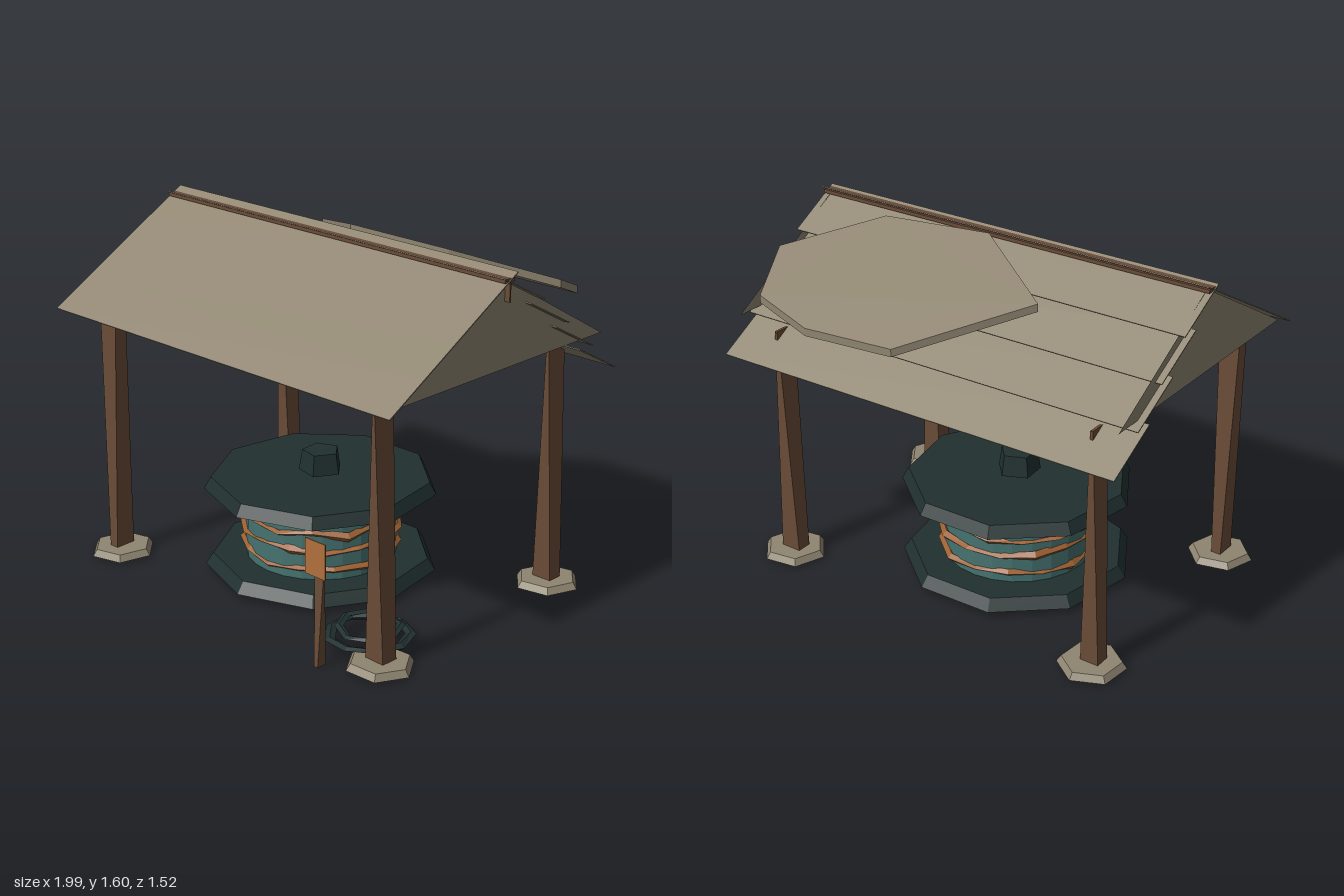
import * as THREE from 'three';

const mat = (name, color, double) => {
  const m = new THREE.MeshStandardMaterial({ color, flatShading: true });
  if (double) m.side = THREE.DoubleSide;
  m.name = name;
  return m;
};

let seed = 7;
const rand = () => {
  seed = (seed * 16807) % 2147483647;
  return seed / 2147483647 - 0.5;
};

export function createModel() {
  const root = new THREE.Group();
  const weathered = mat('weathered grey', 0x8f8571, true);
  const wood = mat('dark wood', 0x6a4c37);
  const rope = mat('copper brown', 0x9c6032, true);
  const teal = mat('teal drum', 0x467371);
  const iron = mat('dark iron', 0x20302f);
  const board = mat('sign wood', 0xb06f3d);

  const add = (name, geo, material, x = 0, y = 0, z = 0, parent = root) => {
    const mesh = new THREE.Mesh(geo, material);
    mesh.name = name;
    mesh.position.set(x, y, z);
    parent.add(mesh);
    return mesh;
  };

  // Four-sided bar whose section changes from bottom to top
  const taperedBar = (h, bottom, top) => {
    const g = new THREE.BoxGeometry(1, h, 1);
    const p = g.attributes.position;
    for (let i = 0; i < p.count; i++) {
      const s = p.getY(i) > 0 ? top : bottom;
      p.setX(i, p.getX(i) * s[0]);
      p.setZ(i, p.getZ(i) * s[1]);
    }
    g.computeVertexNormals();
    return g;
  };

  // Roof boards running along x, each between two points of the side profile
  const roof = new THREE.Group();
  roof.name = 'roof';
  root.add(roof);
  const plank = (name, z1, y1, z2, y2) => {
    const len = Math.hypot(z2 - z1, y2 - y1);
    const m = add(name, new THREE.BoxGeometry(1.99, 0.005, len), weathered,
      -0.005, (y1 + y2) / 2, (z1 + z2) / 2, roof);
    m.rotation.x = -Math.atan2(y2 - y1, z2 - z1);
  };
  for (let i = 0; i < 4; i++) {
    const z = 0.07 - i * 0.169, y = 1.585 - i * 0.139;
    plank('backRoofPlank', z, y, z - 0.255, y - 0.138);
    const f = -0.01 + i * 0.185, fy = 1.598 - i * 0.1045;
    plank('frontRoofPlank', f, fy, f + 0.19, fy - 0.1075);
  }

  // Gable ends
  const gable = new THREE.Shape([
    new THREE.Vector2(-0.68, 1.195),
    new THREE.Vector2(0.62, 1.195),
    new THREE.Vector2(-0.03, 1.57),
  ]);
  for (const x of [-0.97, 0.96]) {
    const m = add('gableEnd', new THREE.ShapeGeometry(gable), weathered, x, 0, 0, roof);
    m.rotation.y = Math.PI / 2;
  }

  // Ridge pole and its end peg
  add('ridgePole', new THREE.BoxGeometry(1.98, 0.016, 0.06), wood, -0.005, 1.572, 0.035, roof);
  add('ridgePeg', new THREE.BoxGeometry(0.03, 0.09, 0.008), wood, 0.97, 1.525, 0.03, roof);

  // Loose sheet lying over the back slope, points as x and z
  const sheetPoints = [[-0.4, -0.33], [0.04, -0.05], [0.55, -0.1], [0.905, -0.4],
    [0.79, -0.67], [0.47, -0.76], [0.04, -0.735]];
  const sheet = new THREE.ExtrudeGeometry(
    new THREE.Shape(sheetPoints.map(([x, z]) => new THREE.Vector2(x, -z))),
    { depth: 0.035, bevelEnabled: false });
  sheet.rotateX(-Math.PI / 2);
  const sp = sheet.attributes.position;
  for (let i = 0; i < sp.count; i++) sp.setY(i, sp.getY(i) + 1.59 + 0.405 * sp.getZ(i));
  sheet.computeVertexNormals();
  add('looseRoofSheet', sheet, weathered, 0, 0, 0, roof);

  // Posts on flat footing stones
  const posts = [
    [0.805, 0.57, [0.1, 0.08], [0.012, 0.11]],
    [0.805, -0.512, [0.1, 0.07], [0.012, 0.11]],
    [-0.815, 0.57, [0.045, 0.1], [0.1, 0.06]],
    [-0.815, -0.512, [0.09, 0.07], [0.012, 0.11]],
  ];
  for (const [x, z, bottom, top] of posts) {
    add('post', taperedBar(1.13, bottom, top), wood, x, 0.575, z);
    const g = new THREE.CylinderGeometry(0.13, 0.15, 0.03, 6);
    g.rotateY(rand() * 3);
    const stone = add('footingStone', g, weathered, x + 0.005, 0.032, z + rand() * 0.02);
    stone.rotation.set(rand() * 0.08, 0, rand() * 0.08);
  }

  // Cable reel
  const reel = new THREE.Group();
  reel.name = 'reel';
  reel.position.set(-0.06, 0, 0.03);
  root.add(reel);
  add('drum', new THREE.CylinderGeometry(0.34, 0.34, 0.33, 24), teal, 0, 0.24, 0, reel);
  add('lowerFlange', new THREE.CylinderGeometry(0.49, 0.525, 0.052, 9), iron, 0, 0.06, 0, reel);
  add('upperFlange', new THREE.CylinderGeometry(0.495, 0.525, 0.054, 9), iron, 0, 0.428, 0, reel);
  const hub = add('hub', new THREE.CylinderGeometry(0.085, 0.1, 0.095, 5), iron, 0, 0.517, 0, reel);
  hub.rotation.y = 0.4;

  // Uneven ring: displaces each section of a coarse torus
  const roughRing = (radius, tube, sections, lift, flat) => {
    const g = new THREE.TorusGeometry(radius, tube, 4, sections);
    g.rotateX(Math.PI / 2);
    const p = g.attributes.position;
    const bumps = Array.from({ length: sections }, () => [1 + rand() * 0.07, rand() * lift, 1 + rand()]);
    for (let i = 0; i < p.count; i++) {
      const [grow, rise, fat] = bumps[i % (sections + 1) % sections];
      p.setXYZ(i, p.getX(i) * grow, p.getY(i) * fat * flat + rise, p.getZ(i) * grow);
    }
    g.computeVertexNormals();
    return g;
  };
  for (const y of [0.128, 0.215, 0.298, 0.384]) {
    const ring = add('windingRing', roughRing(0.343, 0.02, 14, 0.025, 0.8), rope, 0, y, 0, reel);
    ring.rotation.y = y * 9;
  }

  // Spare coil on the ground
  const coil = new THREE.Group();
  coil.name = 'spareCoil';
  coil.position.set(0.61, 0, 0.45);
  root.add(coil);
  add('coilLoop', roughRing(0.17, 0.024, 9, 0.015, 0.6), iron, 0.02, 0.052, 0, coil);
  add('coilLoop', roughRing(0.13, 0.02, 8, 0.015, 0.6), iron, 0.02, 0.088, 0, coil);

  // Small sign on a stake
  add('signStake', taperedBar(0.405, [0.02, 0.048], [0.05, 0.008]), wood, 0.62, 0.21, 0.735);
  add('signBoard', new THREE.BoxGeometry(0.112, 0.156, 0.006), board, 0.618, 0.493, 0.757);

  return root;
}
